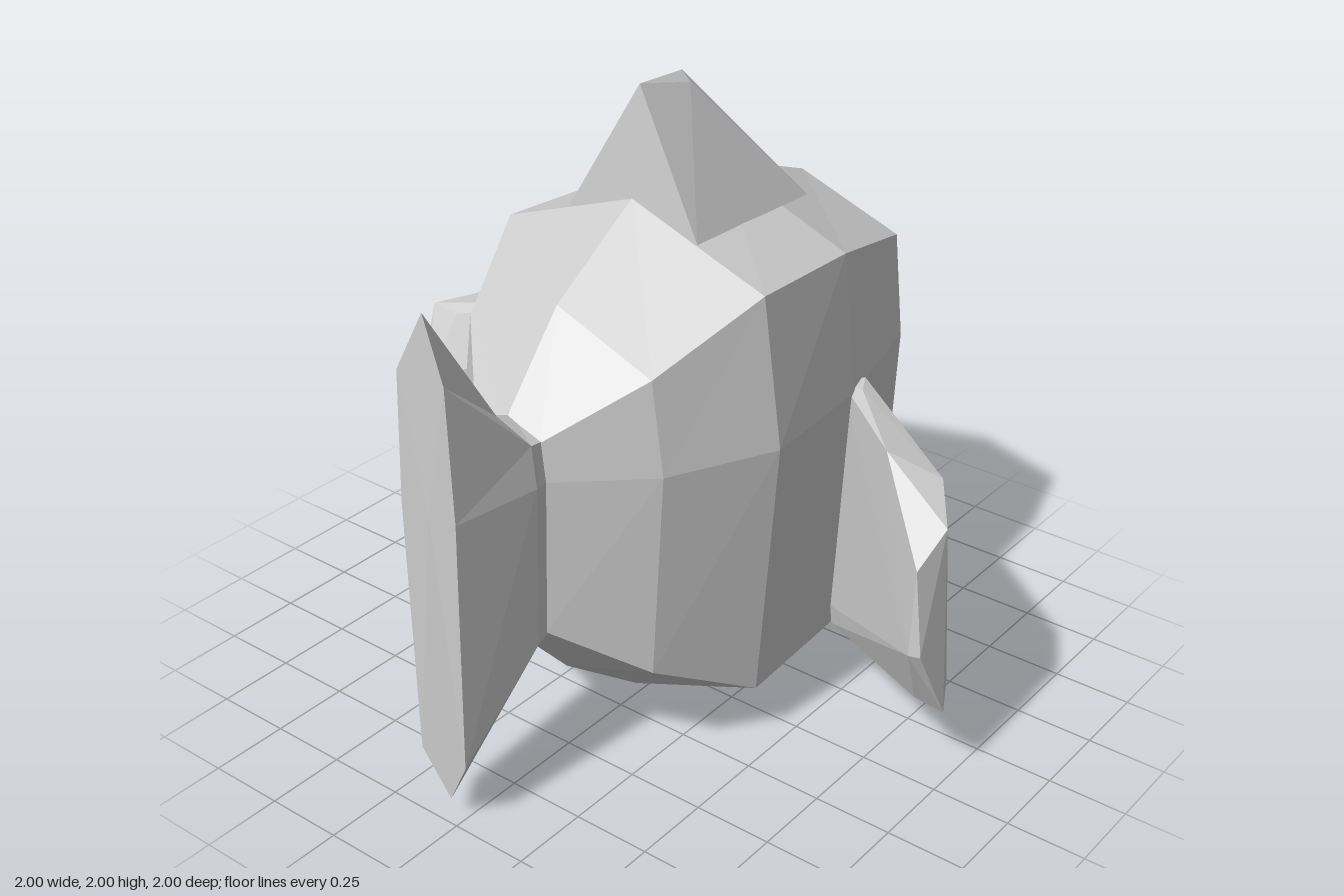
import * as THREE from 'three';
import { ConvexGeometry } from 'three/addons/geometries/ConvexGeometry.js';

const MID_Z = -0.035; // the body's centre plane
const MID_Y = 1.04;

// Eight-point ring at x: top, shoulder, side, lower side, bottom and mirrored
function ring({ x, top, sh, shW, w, low, lowW, bottom, sideX = x }) {
  return [
    [x, top, 0], [sideX, sh, shW], [sideX, MID_Y, w], [sideX, low, lowW],
    [x, bottom, 0], [sideX, low, -lowW], [sideX, MID_Y, -w], [sideX, sh, -shW],
  ].map(([px, y, z]) => new THREE.Vector3(px, y, z + MID_Z));
}

// Skin a row of rings, closing the first one
function loft(rings) {
  const pts = [];
  const tri = (...v) => v.forEach((p) => pts.push(p.x, p.y, p.z));
  for (let i = 0; i < rings.length - 1; i++) {
    for (let j = 0; j < 8; j++) {
      const k = (j + 1) % 8;
      const [a, b, c, d] = [rings[i][j], rings[i][k], rings[i + 1][j], rings[i + 1][k]];
      tri(a, b, c);
      tri(b, d, c);
    }
  }
  const centre = new THREE.Vector3(rings[0][2].x, MID_Y, MID_Z);
  for (let j = 0; j < 8; j++) tri(centre, rings[0][(j + 1) % 8], rings[0][j]);
  const geo = new THREE.BufferGeometry();
  geo.setAttribute('position', new THREE.Float32BufferAttribute(pts, 3));
  geo.computeVertexNormals();
  return geo;
}

const hull = (list) => new ConvexGeometry(list.map((p) => new THREE.Vector3(...p)));

export function createModel() {
  const model = new THREE.Group();
  model.name = 'fish';
  const grey = new THREE.MeshStandardMaterial({ color: 0xcccccc, flatShading: true });
  grey.name = 'plain grey';
  const add = (name, geo) => {
    const mesh = new THREE.Mesh(geo, grey);
    mesh.name = name;
    model.add(mesh);
    return mesh;
  };

  // Body, from tail root to face
  const bodyRings = [
    { x: -0.68, top: 1.2, sh: 1.16, shW: 0.12, w: 0.135, low: 0.54, lowW: 0.12, bottom: 0.49 },
    { x: -0.46, top: 1.46, sh: 1.33, shW: 0.335, w: 0.375, low: 0.37, lowW: 0.335, bottom: 0.25 },
    { x: -0.13, top: 1.67, sh: 1.5, shW: 0.47, w: 0.535, low: 0.19, lowW: 0.47, bottom: 0 },
    { x: 0.29, top: 1.66, sh: 1.48, shW: 0.455, w: 0.505, low: 0.2, lowW: 0.455, bottom: 0.03 },
    { x: 0.72, top: 1.5, sh: 1.37, shW: 0.36, w: 0.395, low: 0.33, lowW: 0.36, bottom: 0.19 },
  ].map(ring);
  add('body', loft(bodyRings));

  // Head: face ring, snout point and two jaw corners
  const face = bodyRings[bodyRings.length - 1].map((p) => p.toArray());
  add('head', hull([
    ...face,
    [1, MID_Y, MID_Z], [0.95, 0.6, MID_Z + 0.215], [0.95, 0.6, MID_Z - 0.215],
  ]));

  // Tail fin, flaring up and down towards the back
  add('tailFin', loft([
    { x: -0.98, sideX: -1, top: 1.63, sh: 1.45, shW: 0.085, w: 0.1, low: 0.23, lowW: 0.085, bottom: 0.07 },
    { x: -0.72, top: 1.22, sh: 1.17, shW: 0.125, w: 0.14, low: 0.52, lowW: 0.125, bottom: 0.48 },
    { x: -0.66, top: 1.2, sh: 1.16, shW: 0.12, w: 0.135, low: 0.54, lowW: 0.12, bottom: 0.49 },
  ].map(ring)));

  // Dorsal fin
  const dorsal = [
    [-0.09, 2, MID_Z], [0.1, 1.99, MID_Z],
    [0.42, 1.65, MID_Z], [0.42, 1.45, MID_Z], [-0.13, 1.45, MID_Z],
  ];
  for (const s of [1, -1]) {
    dorsal.push([-0.13, 1.59, MID_Z + s * 0.235], [0.42, 1.565, MID_Z + s * 0.225]);
    dorsal.push([0.1, 1.96, MID_Z + s * 0.03]);
  }
  add('dorsalFin', hull(dorsal));

  // Side fins: the right one is the left one turned half round the long axis
  const finPoints = [
    [0.365, 1.06, 0.46], [0.365, 0.22, 0.4], [0.29, 1.06, 0.5], [0.29, 0.2, 0.43],
    [0.17, 0.94, 0.86], [0.17, 0.26, 0.92], [0.1, 1.01, 0.71],
    [0.04, 0.87, 0.96], [0.02, 0.27, 1], [0.02, 0.28, 0.9],
    [-0.08, 0.78, 0.94], [-0.1, 0.51, 0.94], [-0.09, 0.51, 0.975],
    [0.33, 1.04, 0.4], [0.33, 0.24, 0.36],
  ];
  add('leftFin', hull(finPoints));
  add('rightFin', hull(finPoints.map(([x, y, z]) => [x, 1.28 - y, -z])));

  // Eyes
  for (const s of [1, -1]) {
    const eye = add(s > 0 ? 'leftEye' : 'rightEye', new THREE.BoxGeometry(0.035, 0.062, 0.045));
    eye.position.set(0.815, 1.178, MID_Z + s * 0.255);
    eye.rotation.y = -s * 0.25;
  }

  return model;
}
